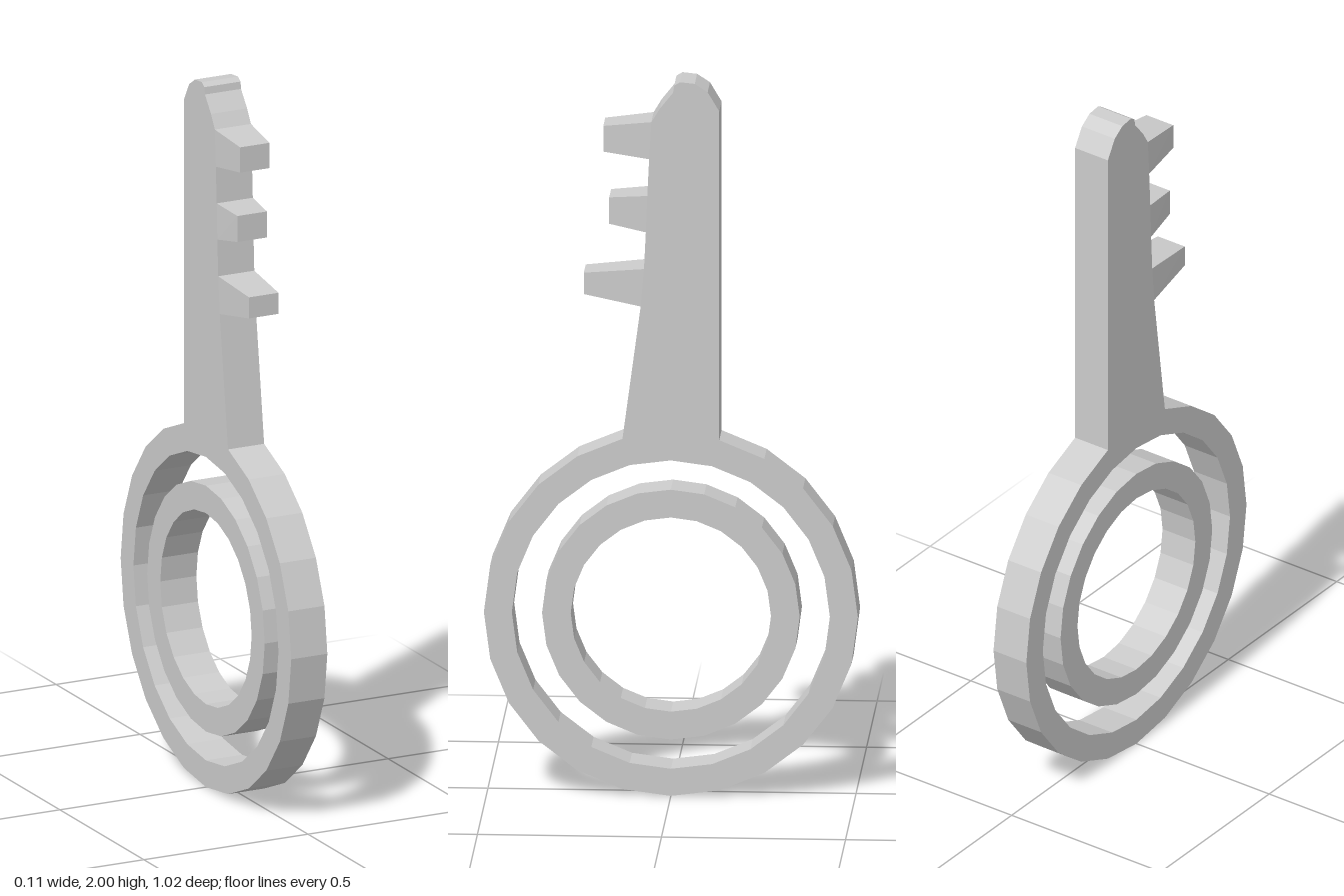
import * as THREE from 'three';

const T = 0.11;      // plate thickness along x
const CY = 0.508;    // height of the ring centre
const SIDES = 24;

const mat = new THREE.MeshStandardMaterial({ color: 0xcccccc, flatShading: true });

// Points of a 24-sided circle in (z, y), clockwise from the given step
function arc(r, first = 0) {
  const pts = [];
  for (let i = first; i < SIDES; i++) {
    const t = (i / SIDES) * Math.PI * 2;
    pts.push(new THREE.Vector2(Math.sin(t) * r, CY + Math.cos(t) * r));
  }
  return pts;
}

// Extrude a clockwise (z, y) outline with a round hole across x
function plate(name, outline, holeRadius) {
  const shape = new THREE.Shape(outline);
  // The hole runs against the outline so its wall faces inward
  shape.holes.push(new THREE.Path(arc(holeRadius).reverse()));
  const geo = new THREE.ExtrudeGeometry(shape, { depth: T, bevelEnabled: false });
  geo.translate(0, 0, -T / 2).rotateY(-Math.PI / 2);
  const mesh = new THREE.Mesh(geo, mat);
  mesh.name = name;
  return mesh;
}

// Tooth tapering from the blade edge to a smaller tip; base corners are [z, y]
function tooth(name, [baseLow, baseHigh], tipZ, tipLow, tipHigh) {
  const geo = new THREE.BoxGeometry(1, 1, 1);
  const p = geo.attributes.position;
  for (let i = 0; i < p.count; i++) {
    const sx = Math.sign(p.getX(i)), up = p.getY(i) > 0;
    if (p.getZ(i) > 0) p.setXYZ(i, sx * 0.045, up ? tipHigh : tipLow, tipZ);
    else {
      const [z, y] = up ? baseHigh : baseLow;
      p.setXYZ(i, sx * T / 2, y, z);
    }
  }
  geo.computeVertexNormals();
  const mesh = new THREE.Mesh(geo, mat);
  mesh.name = name;
  return mesh;
}

export function createModel() {
  const group = new THREE.Group();
  group.name = 'key';

  // Pairs of blade-edge points where the teeth are rooted, bottom to top
  const roots = [
    [[0.082, 1.37], [0.073, 1.475]],
    [[0.068, 1.578], [0.064, 1.68]],
    [[0.059, 1.783], [0.053, 1.887]],
  ];

  // Blade rises from the outer ring as a single outline
  const blade = [
    [-0.1315, 1.92], [-0.1, 1.973], [-0.065, 1.996], [-0.025, 2],
    [-0.009, 1.99], [-0.006, 1.97], [0.03, 1.925],
    ...roots.flat().reverse(),
  ].map(([z, y]) => new THREE.Vector2(z, y));
  group.add(plate('bowAndBlade', [...arc(0.508, 1), ...blade], 0.432));

  // Loose ring inside the bow
  group.add(plate('innerRing', arc(0.35), 0.272));

  // Teeth on the front edge
  group.add(
    tooth('lowerTooth', roots[0], 0.237, 1.4, 1.46),
    tooth('middleTooth', roots[1], 0.168, 1.598, 1.672),
    tooth('upperTooth', roots[2], 0.184, 1.8, 1.872),
  );
  return group;
}
